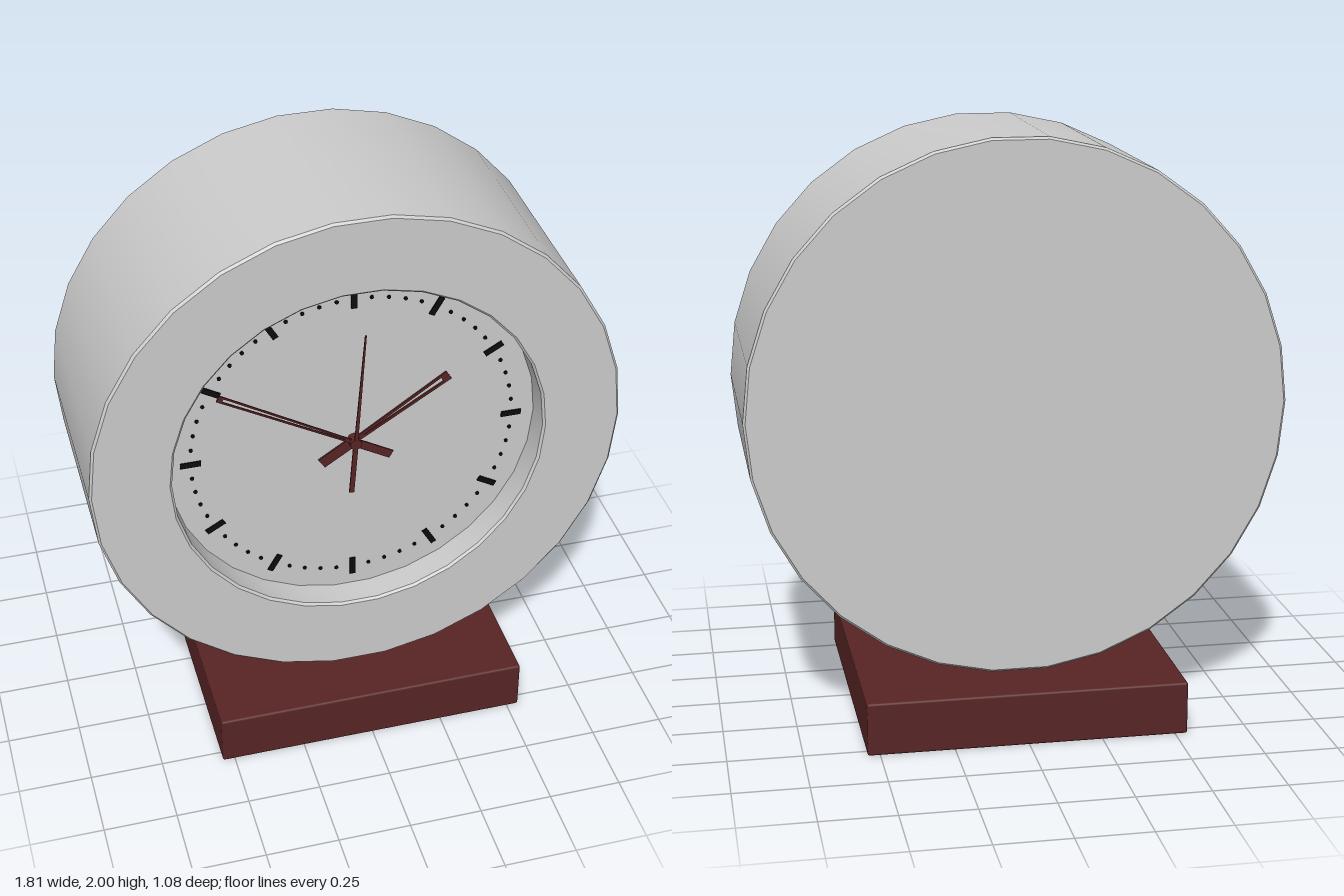
import * as THREE from 'three';
import { toCreasedNormals } from 'three/addons/utils/BufferGeometryUtils.js';
import { RoundedBoxGeometry } from 'three/addons/geometries/RoundedBoxGeometry.js';

const CENTRE_Y = 1.098;
const DIAL_Z = 0.26;

const grey = new THREE.MeshStandardMaterial({ color: 0xcccccc });
const red = new THREE.MeshStandardMaterial({ color: 0x582425 });
const black = new THREE.MeshStandardMaterial({ color: 0x0c0c0c });

function addMesh(parent, name, geometry, material) {
  const mesh = new THREE.Mesh(geometry, material);
  mesh.name = name;
  parent.add(mesh);
  return mesh;
}

function polygon(Type, points) {
  return new Type(points.map(([x, y]) => new THREE.Vector2(x, y)));
}

// Clock hand pointing along +y: wide tail, narrow hub, optional slot towards the tip
function handGeometry({ tail, length, tailWidth, hubWidth, tipWidth, rim }) {
  const [a, b, c] = [tailWidth / 2, hubWidth / 2, tipWidth / 2];
  const shape = polygon(THREE.Shape, [
    [-a, -tail], [a, -tail], [a, -0.02], [b, 0.015],
    [c, length], [-c, length], [-b, 0.015], [-a, -0.02],
  ]);
  if (rim) {
    const end = length - rim * 3;
    const inner = Math.max(b - rim, 0.001);
    shape.holes.push(polygon(THREE.Path, [
      [-inner, 0.04], [-(c - rim), end], [c - rim, end], [inner, 0.04],
    ]));
  }
  return new THREE.ExtrudeGeometry(shape, { depth: 0.006, bevelEnabled: false });
}

export function createModel() {
  const model = new THREE.Group();
  model.name = 'tableClock';

  // Square plinth with slightly softened edges
  addMesh(model, 'base', new RoundedBoxGeometry(1.084, 0.182, 1.084, 2, 0.008), red)
    .position.y = 0.093;

  // Everything on the clock turns about the dial centre
  const clock = new THREE.Group();
  clock.name = 'clock';
  clock.position.y = CENTRE_Y;
  model.add(clock);

  // Thirty-sided drum with bevelled rims and a recessed dial, as one turned profile
  const profile = [
    [0, -0.362], [0.899, -0.362], [0.907, -0.354], [0.907, 0.354], [0.899, 0.362],
    [0.643, 0.362], [0.635, 0.354], [0.635, DIAL_Z], [0, DIAL_Z],
  ].map(([r, z]) => new THREE.Vector2(r, z));
  const drum = new THREE.LatheGeometry(profile, 30, Math.PI / 2);
  drum.rotateX(Math.PI / 2);
  addMesh(clock, 'drum', toCreasedNormals(drum, 0.5), grey);

  // Hour bars and minute dots
  const markers = new THREE.Group();
  markers.name = 'dialMarkers';
  clock.add(markers);
  const bar = new THREE.BoxGeometry(0.02, 0.07, 0.006);
  const dot = new THREE.CylinderGeometry(0.0065, 0.0065, 0.006, 10).rotateX(Math.PI / 2);
  for (let i = 0; i < 60; i++) {
    const angle = (i / 60) * Math.PI * 2;
    const isHour = i % 5 === 0;
    const mark = addMesh(markers, isHour ? 'hourMark' : 'minuteDot', isHour ? bar : dot, black);
    mark.position.set(Math.sin(angle) * 0.554, Math.cos(angle) * 0.554, DIAL_Z + 0.002);
    mark.rotation.z = -angle;
  }

  // Three hands stacked over the dial, angles clockwise from the top
  const hands = [
    ['hourHand', 57, { tail: 0.135, length: 0.385, tailWidth: 0.04, hubWidth: 0.02, tipWidth: 0.036, rim: 0.009 }],
    ['minuteHand', -60, { tail: 0.145, length: 0.53, tailWidth: 0.03, hubWidth: 0.014, tipWidth: 0.024, rim: 0.006 }],
    ['secondHand', 4, { tail: 0.2, length: 0.43, tailWidth: 0.017, hubWidth: 0.012, tipWidth: 0.005 }],
  ];
  hands.forEach(([name, degrees, size], i) => {
    const hand = addMesh(clock, name, handGeometry(size), red);
    hand.position.z = DIAL_Z + 0.012 + i * 0.01;
    hand.rotation.z = -THREE.MathUtils.degToRad(degrees);
  });

  // Centre pin holding the hands
  const pin = new THREE.CylinderGeometry(0.02, 0.02, 0.04, 20).rotateX(Math.PI / 2);
  addMesh(clock, 'centrePin', pin, red).position.z = DIAL_Z + 0.02;

  return model;
}
